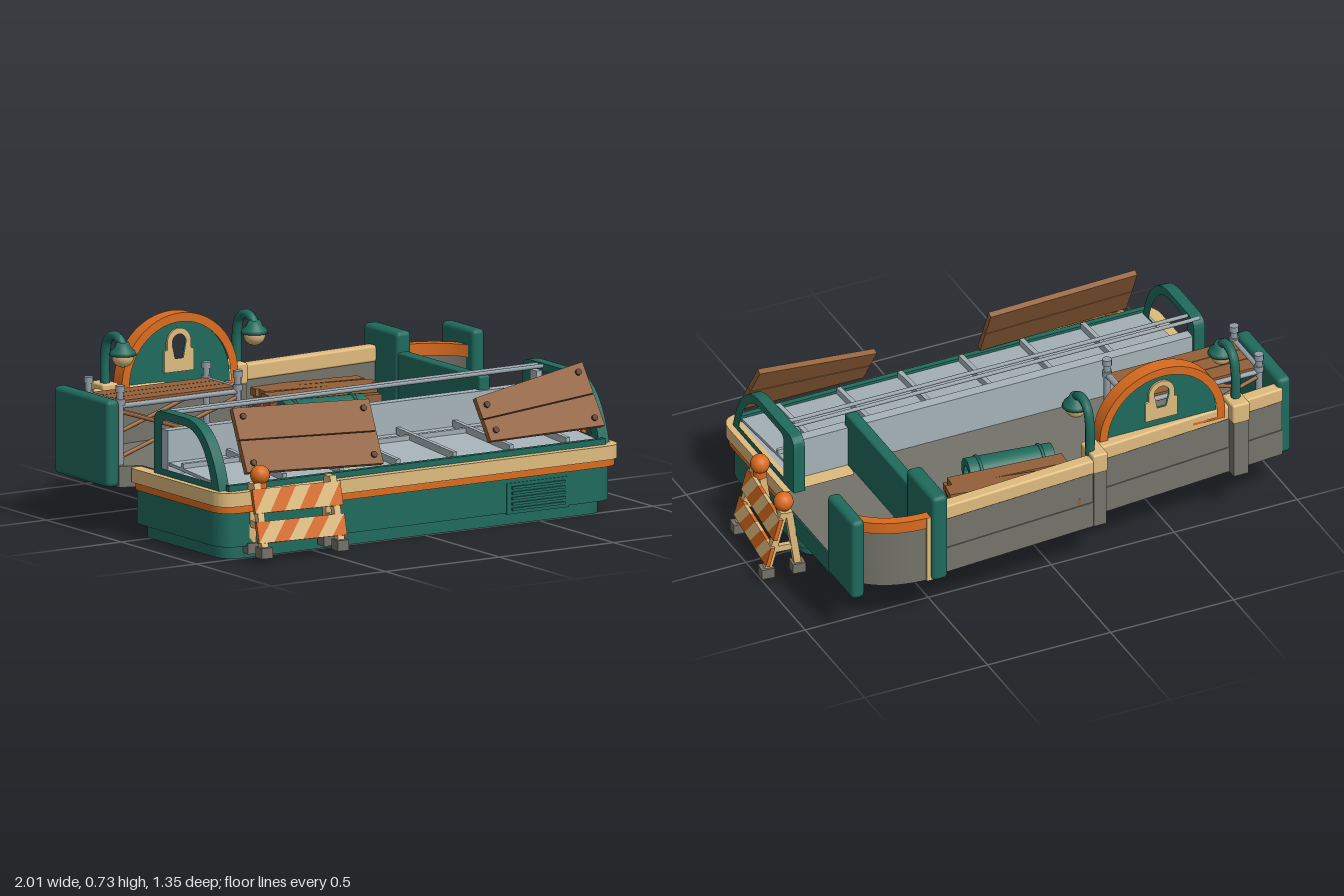
import * as THREE from 'three';
import { toCreasedNormals } from 'three/addons/utils/BufferGeometryUtils.js';
import { RoundedBoxGeometry } from 'three/addons/geometries/RoundedBoxGeometry.js';

const paint = (name, color) => Object.assign(new THREE.MeshStandardMaterial({ color }), { name });

export function createModel() {
  const teal = paint('teal', 0x1f6a5c), orange = paint('orange', 0xd96b1f), cream = paint('cream', 0xdfbb7e);
  const stone = paint('stone', 0x74736a), pale = paint('paleSteel', 0xa6b3b9), steel = paint('steel', 0x929da5);
  const wood = paint('wood', 0x926038), bolt = paint('darkWood', 0x553520), rubber = paint('rubber', 0x757069);

  const root = new THREE.Group();
  root.name = 'closedMarketStall';
  const V = (x, y, z) => new THREE.Vector3(x, y, z);
  const add = (name, geo, mat, parent = root) => {
    const m = new THREE.Mesh(geo, mat);
    m.name = name;
    parent.add(m);
    return m;
  };
  const group = (name, x, y, z, ry = 0, parent = root) => {
    const g = new THREE.Group();
    g.name = name;
    g.position.set(x, y, z);
    g.rotation.y = ry;
    parent.add(g);
    return g;
  };
  // box given by its limits on each axis
  const box = (name, mat, x0, x1, y0, y1, z0, z1, parent = root, r = 0) => {
    const s = [x1 - x0, y1 - y0, z1 - z0];
    const m = add(name, r ? new RoundedBoxGeometry(...s, 2, r) : new THREE.BoxGeometry(...s), mat, parent);
    m.position.set((x0 + x1) / 2, (y0 + y1) / 2, (z0 + z1) / 2);
    return m;
  };
  // round or square bar between two points
  const bar = (name, mat, a, b, r, parent = root, sides = 10) => {
    const m = add(name, new THREE.CylinderGeometry(r, r, a.distanceTo(b), sides), mat, parent);
    m.position.copy(a).add(b).multiplyScalar(0.5);
    m.quaternion.setFromUnitVectors(V(0, 1, 0), b.clone().sub(a).normalize());
    return m;
  };
  const extrude = (shape, depth) => toCreasedNormals(
    new THREE.ExtrudeGeometry(shape, { depth, bevelEnabled: false, curveSegments: 16 }), 0.6);
  // plan outline (x, z) raised from y0 to y1
  const slab = (name, mat, shape, y0, y1) =>
    add(name, extrude(shape, y1 - y0).rotateX(Math.PI / 2).translate(0, y1, 0), mat);
  const roundRect = (x0, x1, z0, z1, r) => new THREE.Shape()
    .moveTo(x0 + r, z0).lineTo(x1 - r, z0).quadraticCurveTo(x1, z0, x1, z0 + r)
    .lineTo(x1, z1 - r).quadraticCurveTo(x1, z1, x1 - r, z1)
    .lineTo(x0 + r, z1).quadraticCurveTo(x0, z1, x0, z1 - r)
    .lineTo(x0, z0 + r).quadraticCurveTo(x0, z0, x0 + r, z0);

  // counter
  slab('plinth', teal, roundRect(-0.87, 0.79, -0.07, 0.5, 0.08), 0, 0.05);
  slab('counterBody', teal, roundRect(-0.9, 0.82, -0.1, 0.53, 0.09), 0.05, 0.182);
  slab('orangeTrim', orange, roundRect(-0.915, 0.835, -0.09, 0.55, 0.09), 0.18, 0.206);
  slab('counterRim', cream, new THREE.Shape()
    .moveTo(-0.92, -0.03).quadraticCurveTo(-0.92, -0.09, -0.86, -0.09).lineTo(-0.87, -0.05)
    .lineTo(-0.87, 0.52).lineTo(0.78, 0.52).lineTo(0.78, 0.08).lineTo(0.55, 0.08).lineTo(0.55, 0)
    .lineTo(0.84, 0).lineTo(0.84, 0.475).quadraticCurveTo(0.84, 0.555, 0.76, 0.555)
    .lineTo(-0.84, 0.555).quadraticCurveTo(-0.92, 0.555, -0.92, 0.475), 0.206, 0.258);
  box('ventPanel', teal, 0.34, 0.61, 0.045, 0.16, 0.52, 0.534);
  for (let i = 0; i < 5; i++) box('ventLouver', teal, 0.36, 0.59, 0.058 + i * 0.02, 0.068 + i * 0.02, 0.53, 0.542);

  // display case
  box('displayBase', pale, -0.87, 0.78, 0.2, 0.255, 0.07, 0.52);
  box('displayBack', pale, -0.87, 0.77, 0.22, 0.42, 0.07, 0.113);
  box('displayEndPost', pale, 0.745, 0.77, 0.28, 0.468, 0.07, 0.113);
  box('frontLip', teal, -0.87, 0.78, 0.25, 0.28, 0.5, 0.522);
  const tray = group('displayTray', -0.045, 0.285, 0.308);
  tray.rotation.x = 0.08;
  box('trayFloor', pale, -0.82, 0.82, -0.012, 0, -0.195, 0.195, tray);
  box('trayLedge', pale, -0.82, 0.82, 0, 0.018, -0.115, -0.1, tray);
  for (let i = 0; i < 6; i++) {
    const x = -0.565 + i * 0.248;
    box('trayDivider', pale, x - 0.009, x + 0.009, 0, 0.026, -0.19, 0.19, tray);
  }
  for (const z of [0.08, 0.115]) bar('topRail', steel, V(-0.88, 0.485, z), V(0.8, 0.485, z), 0.008);
  // side arch with its back post between z = b0 and z = b1
  const sideArch = (x, b0, b1) => {
    const arch = new THREE.Shape().moveTo(b0, 0.25).lineTo(b0, 0.45).quadraticCurveTo(b0, 0.495, b0 + 0.05, 0.495)
      .lineTo(0.27, 0.495).bezierCurveTo(0.39, 0.495, 0.46, 0.39, 0.495, 0.25);
    arch.holes.push(new THREE.Path().moveTo(b1, 0.282).lineTo(b1, 0.44).quadraticCurveTo(b1, 0.465, b1 + 0.033, 0.465)
      .lineTo(0.26, 0.465).bezierCurveTo(0.36, 0.465, 0.41, 0.38, 0.44, 0.282));
    add('sideArch', extrude(arch, 0.045).rotateY(-Math.PI / 2).translate(x, 0, 0), teal);
  };
  sideArch(-0.85, 0.06, 0.113);
  sideArch(0.815, -0.02, 0.067);

  // back room floor and walls
  slab('floor', stone, new THREE.Shape().moveTo(-0.95, -0.09).lineTo(-0.87, -0.06).lineTo(-0.87, 0.07)
    .lineTo(0.54, 0.07).lineTo(0.56, 0).lineTo(0.87, 0).lineTo(0.87, -0.46)
    .quadraticCurveTo(0.8, -0.61, 0.56, -0.64).lineTo(0.5, -0.62).lineTo(-0.17, -0.575)
    .lineTo(-0.17, -0.52).lineTo(-0.96, -0.44), 0.183, 0.262);
  box('floorEdge', teal, 0.868, 0.875, 0.18, 0.258, -0.45, 0);
  const wall = (x0, z0, x1, z1) => {
    const L = Math.hypot(x1 - x0, z1 - z0);
    const g = group('backWall', (x0 + x1) / 2, 0, (z0 + z1) / 2, -Math.atan2(z1 - z0, x1 - x0));
    box('wallPanel', stone, -L / 2, L / 2, 0.185, 0.42, -0.018, 0.018, g);
    box('wallFoot', stone, -L / 2, L / 2, 0.185, 0.29, -0.022, 0.018, g);
    box('wallCap', cream, -L / 2, L / 2, 0.415, 0.475, -0.026, 0.024, g, 0.008);
  };
  wall(-0.96, -0.435, -0.15, -0.505);
  wall(-0.17, -0.565, 0.52, -0.61);
  for (const [x, z0, z1, w] of [[-0.765, -0.515, -0.43, 0.03], [-0.155, -0.592, -0.49, 0.026]]) {
    box('pier', stone, x - w, x + w, 0.185, 0.42, z0, z1);
    box('pierCap', cream, x - w - 0.005, x + w + 0.005, 0.415, 0.495, z0 - 0.004, z1 + 0.004, root, 0.008);
  }
  box('leftPost', teal, -1, -0.945, 0.185, 0.51, -0.455, -0.09, root, 0.018);
  box('dividerPost', teal, 0.5, 0.563, 0.185, 0.548, -0.672, -0.44, root, 0.018);
  box('divider', teal, 0.505, 0.552, 0.18, 0.472, -0.46, 0.1, root, 0.008);
  box('rightPost', teal, 0.83, 0.882, 0.185, 0.522, -0.655, -0.435, root, 0.018);
  box('cornerStrip', cream, 0.55, 0.58, 0.185, 0.46, -0.655, -0.615);
  const bend = (t) => new THREE.Shape().moveTo(0.555, -0.635 - t).quadraticCurveTo(0.78 + t, -0.635 - t, 0.85 + t, -0.47)
    .lineTo(0.85 - t, -0.47).quadraticCurveTo(0.78 - t, -0.635 + t, 0.555, -0.635 + t);
  slab('curvedWall', stone, bend(0.012), 0.185, 0.42);
  slab('curvedWallCap', orange, bend(0.019), 0.415, 0.46);

  // arched sign with padlock cut-out
  const sign = group('archSign', -0.455, 0.47, -0.465);
  const hole = () => new THREE.Path().moveTo(-0.018, 0.085).lineTo(-0.03, 0.135)
    .absarc(0, 0.145, 0.03, Math.PI, 0, true).lineTo(0.018, 0.085);
  const half = (r) => new THREE.Shape().moveTo(-r, -0.03).lineTo(-r, 0).absarc(0, 0, r, Math.PI, 0, true).lineTo(r, -0.03);
  const rim = half(0.255);
  rim.holes.push(new THREE.Path().moveTo(-0.222, -0.02).lineTo(-0.222, 0).absarc(0, 0, 0.222, Math.PI, 0, true).lineTo(0.222, -0.02));
  add('signRim', extrude(rim, 0.058).translate(0, 0, -0.029), orange, sign);
  const panel = half(0.225);
  panel.holes.push(hole());
  add('signPanel', extrude(panel, 0.03).translate(0, 0, -0.015), teal, sign);
  const lock = new THREE.Shape().moveTo(-0.065, 0.035).lineTo(-0.065, 0.115).lineTo(-0.052, 0.12).lineTo(-0.052, 0.145)
    .absarc(0, 0.145, 0.052, Math.PI, 0, true).lineTo(0.052, 0.12).lineTo(0.065, 0.115).lineTo(0.065, 0.035);
  lock.holes.push(hole());
  add('padlock', extrude(lock, 0.046).translate(0, 0, -0.023), cream, sign);

  // goose-neck lamps
  for (const [x, z] of [[-0.768, -0.46], [-0.135, -0.545]]) {
    const lamp = group('lamp', x, 0, z);
    const neck = new THREE.CatmullRomCurve3([V(0, 0.47, 0), V(0, 0.6, 0), V(0, 0.66, 0.02), V(0, 0.68, 0.06),
      V(0, 0.67, 0.1), V(0, 0.645, 0.118)]);
    add('lampNeck', new THREE.TubeGeometry(neck, 24, 0.018, 10), teal, lamp);
    const shade = [[0, 0.665], [0.022, 0.665], [0.03, 0.645], [0.046, 0.63], [0.052, 0.617], [0, 0.617]];
    add('lampShade', new THREE.LatheGeometry(shade.map(p => new THREE.Vector2(...p)).reverse(), 20), teal, lamp).position.z = 0.118;
    add('lampBulb', new THREE.SphereGeometry(0.041, 16, 12), cream, lamp).position.set(0, 0.612, 0.118);
  }

  // scaffold table
  const table = group('scaffold', -0.67, 0, -0.222);
  for (const sx of [-1, 1]) {
    for (const sz of [-1, 1]) {
      bar('scaffoldPost', steel, V(sx * 0.258, 0.255, sz * 0.105), V(sx * 0.258, 0.55, sz * 0.105), 0.013, table);
      for (const y of [0.495, 0.545]) bar('scaffoldCollar', steel, V(sx * 0.258, y - 0.012, sz * 0.105), V(sx * 0.258, y + 0.012, sz * 0.105), 0.018, table);
    }
    bar('scaffoldEndRail', steel, V(sx * 0.258, 0.49, -0.105), V(sx * 0.258, 0.49, 0.105), 0.012, table);
    bar('scaffoldSideRail', steel, V(-0.258, 0.48, sx * 0.105), V(0.258, 0.48, sx * 0.105), 0.01, table);
    for (const d of [-1, 1]) bar('scaffoldBrace', wood, V(-0.258 * d, 0.29, sx * 0.105), V(0.258 * d, 0.46, sx * 0.105), 0.008, table);
  }
  for (let i = 0; i < 3; i++) box('scaffoldPlank', wood, -0.245, 0.25, 0.478, 0.498, -0.1 + i * 0.067, -0.036 + i * 0.067, table);

  // plank pile and rolled mat
  const pile = group('plankPile', 0.145, 0.262, -0.455, -0.13);
  for (let i = 0; i < 4; i++) for (let j = 0; j < 3; j++) {
    const p = box('plank', wood, -0.225, 0.225, i * 0.032, i * 0.032 + 0.028, -0.1 + j * 0.068, -0.036 + j * 0.068, pile);
    p.rotation.y = [0.02, -0.03, 0.05][(i + j) % 3];
    p.position.x += [0, 0.014, -0.012][(i * 2 + j) % 3];
  }
  const mat = group('rolledMat', 0.065, 0.322, -0.28, -0.13);
  const roll = [[0.03, -0.165], [0.058, -0.165], [0.058, 0.165], [0.03, 0.165], [0.03, -0.165]].map(p => new THREE.Vector2(...p));
  add('matRoll', toCreasedNormals(new THREE.LatheGeometry(roll, 24).rotateZ(-Math.PI / 2), 0.6), teal, mat);
  for (const x of [-0.12, 0.12]) add('matStrap', new THREE.TorusGeometry(0.058, 0.006, 8, 24).rotateY(Math.PI / 2), teal, mat).position.x = x;

  // boards leaning on the front of the case
  const leaning = (x, w, h0, h1, roll) => {
    const g = group('leaningBoard', x, 0.412, 0.452);
    g.rotation.set(-0.49, 0, roll);
    const half0 = h0 / 2, half1 = h1 / 2;
    for (const s of [-1, 1]) {
      const sh = new THREE.Shape().moveTo(-w / 2, s * 0.002).lineTo(w / 2, s * 0.002).lineTo(w / 2, s * half1).lineTo(-w / 2, s * half0);
      add('boardPlank', extrude(sh, 0.022).translate(0, 0, -0.011), wood, g);
      for (const e of [-1, 1]) add('boardBolt', new THREE.CylinderGeometry(0.012, 0.012, 0.012, 10).rotateX(Math.PI / 2), bolt, g)
        .position.set(e * (w / 2 - 0.035), s * ((e < 0 ? half0 : half1) - 0.035), 0.014);
    }
  };
  leaning(-0.485, 0.59, 0.25, 0.25, -0.05);
  leaning(0.525, 0.5, 0.17, 0.25, 0.09);

  // striped road barriers, feet at z = +-spread and apex at z = top
  const barrier = (x, z, ry, spread, top, lights) => {
    const g = group('barrier', x, 0, z, ry), W = 0.365, n = 6, run = spread - top - 0.01;
    for (const sx of [-1, 1]) {
      const lx = sx * 0.158;
      for (const sz of [-1, 1]) {
        const leg = bar('barrierLeg', cream, V(lx, 0.045, sz * spread), V(lx, 0.285, top + sz * 0.01), 0.019, g, 4);
        leg.geometry = toCreasedNormals(leg.geometry.rotateY(Math.PI / 4), 0.5);
        box('barrierFoot', rubber, lx - 0.023, lx + 0.023, 0.02, 0.06, sz * spread - 0.025, sz * spread + 0.025, g);
      }
      box('barrierCross', cream, lx - 0.01, lx + 0.01, 0.12, 0.145, -spread * 0.7, spread * 0.7, g);
    }
    for (const [y, h] of [[0.223, 0.09], [0.112, 0.08]]) {
      const b = group('barrierBoard', 0, y, spread - (y - 0.045) * run / 0.24 + 0.01, 0, g);
      b.rotation.x = -Math.atan2(run, 0.24);
      const c = (v) => Math.max(-W / 2, Math.min(W / 2, v));
      for (let i = -1; i < n; i++) {
        const x0 = -W / 2 + i * W / n, x1 = x0 + W / n, k = 0.06;
        const sh = new THREE.Shape().moveTo(c(x0), -h / 2).lineTo(c(x1), -h / 2).lineTo(c(x1 + k), h / 2).lineTo(c(x0 + k), h / 2);
        add('barrierStripe', extrude(sh, 0.016).translate(0, 0, -0.008), i % 2 ? orange : cream, b);
      }
    }
    for (const lx of lights) {
      bar('lightBase', orange, V(lx, 0.26, top), V(lx, 0.295, top), 0.026, g, 12);
      add('warningLight', new THREE.SphereGeometry(0.037, 16, 12), orange, g).position.set(lx, 0.313, top);
    }
  };
  barrier(-0.62, 0.582, -0.09, 0.053, -0.025, [-0.133]);
  barrier(0.905, 0.012, Math.PI / 2 - 0.12, 0.06, -0.015, [-0.133, 0.133]);

  return root;
}
